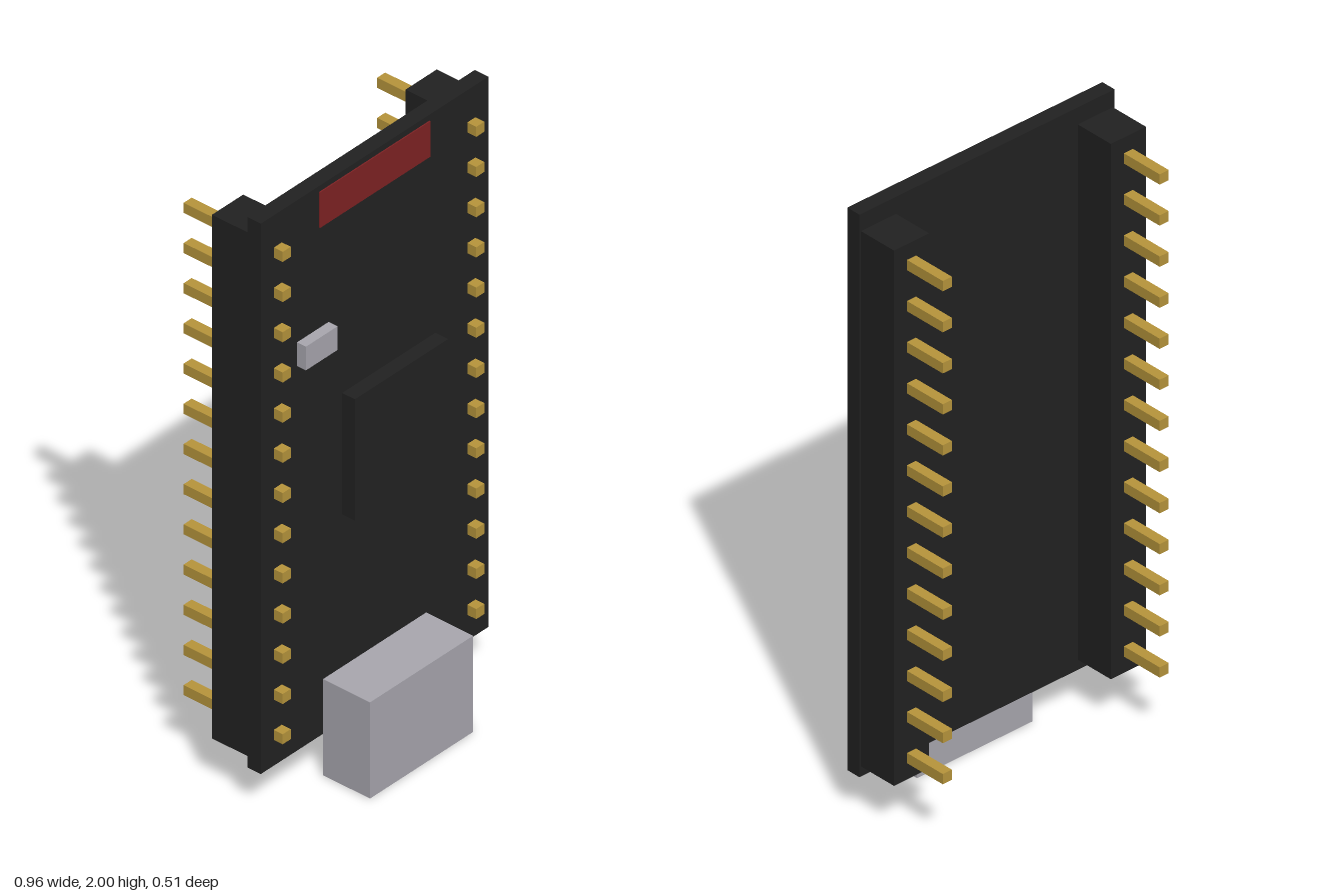
import * as THREE from 'three';

const material = (name, color) => {
  const m = new THREE.MeshStandardMaterial({ color });
  m.name = name;
  return m;
};

export function createModel() {
  const model = new THREE.Group();
  model.name = 'microcontrollerBoard';
  const black = material('black', 0x222222);
  const gold = material('gold', 0xb8963c);
  const silver = material('silver', 0xaaa8b0);
  const red = material('red', 0x802224);

  // Box given by its extents along each axis
  const block = (name, mat, [x0, x1], [y0, y1], [z0, z1]) => {
    const mesh = new THREE.Mesh(new THREE.BoxGeometry(x1 - x0, y1 - y0, z1 - z0), mat);
    mesh.position.set((x0 + x1) / 2, (y0 + y1) / 2, (z0 + z1) / 2);
    mesh.name = name;
    model.add(mesh);
  };

  block('circuitBoard', black, [-0.481, 0.481], [0.14, 2], [0.03, 0.08]);
  block('chip', black, [-0.137, 0.257], [0.84, 1.25], [0.08, 0.127]);
  block('usbSocket', silver, [-0.218, 0.218], [0, 0.325], [0.08, 0.254]);
  block('resetButton', silver, [-0.328, -0.194], [1.44, 1.52], [0.08, 0.113]);
  block('redLabel', red, [-0.235, 0.231], [1.86, 1.98], [0.08, 0.084]);

  // Header strips with a row of pins through the board on each side
  const pinCount = 13;
  for (const [label, side] of [['left', 1], ['right', -1]]) {
    const cx = side * 0.409;
    block(label + 'Header', black, [cx - 0.066, cx + 0.066], [0.173, 1.943], [-0.106, 0.03]);
    for (let i = 0; i < pinCount; i++) {
      const cy = 0.244 + (i * 1.63) / (pinCount - 1);
      block(label + 'Pin' + (i + 1), gold,
        [cx - 0.017, cx + 0.017], [cy - 0.017, cy + 0.017], [-0.254, 0.113]);
    }
  }
  return model;
}
